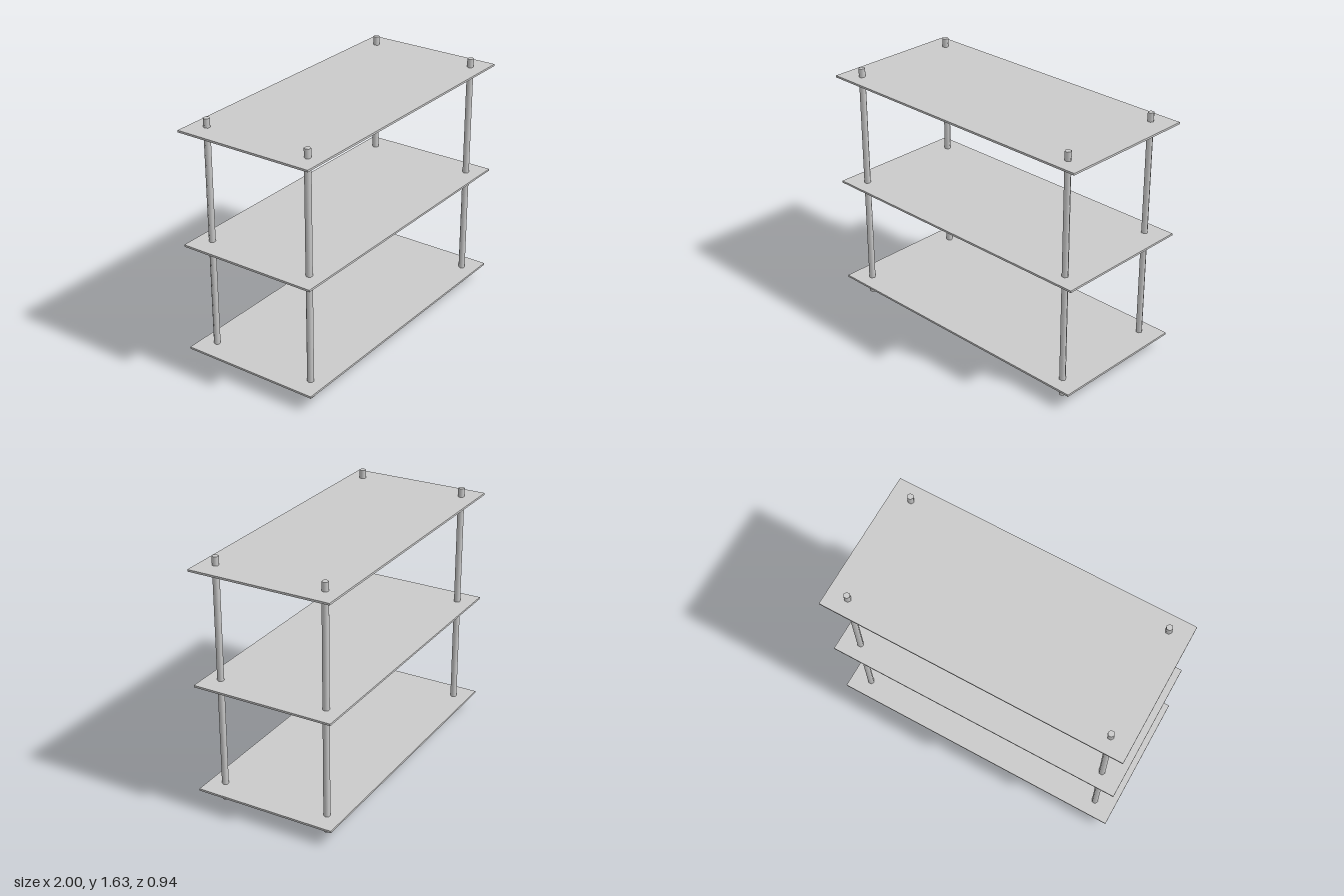
import * as THREE from 'three';

export function createModel() {
  const group = new THREE.Group();
  const material = new THREE.MeshStandardMaterial({ color: 0xcccccc });

  // Three thin shelf boards
  const shelfGeometry = new THREE.BoxGeometry(2, 0.013, 0.937);
  const shelves = { lowerShelf: 0.103, middleShelf: 0.823, upperShelf: 1.568 };
  for (const [name, y] of Object.entries(shelves)) {
    const shelf = new THREE.Mesh(shelfGeometry, material);
    shelf.name = name;
    shelf.position.y = y;
    group.add(shelf);
  }

  // Four six-sided posts running through all shelves
  const height = 1.632;
  const postGeometry = new THREE.CylinderGeometry(0.021, 0.021, height, 6);
  postGeometry.rotateY(Math.PI / 6);
  for (const [depth, z] of [['front', 0.367], ['back', -0.363]]) {
    for (const [side, x] of [['Left', 0.866], ['Right', -0.866]]) {
      const post = new THREE.Mesh(postGeometry, material);
      post.name = `${depth}${side}Post`;
      post.position.set(x, height / 2, z);
      group.add(post);
    }
  }
  return group;
}
